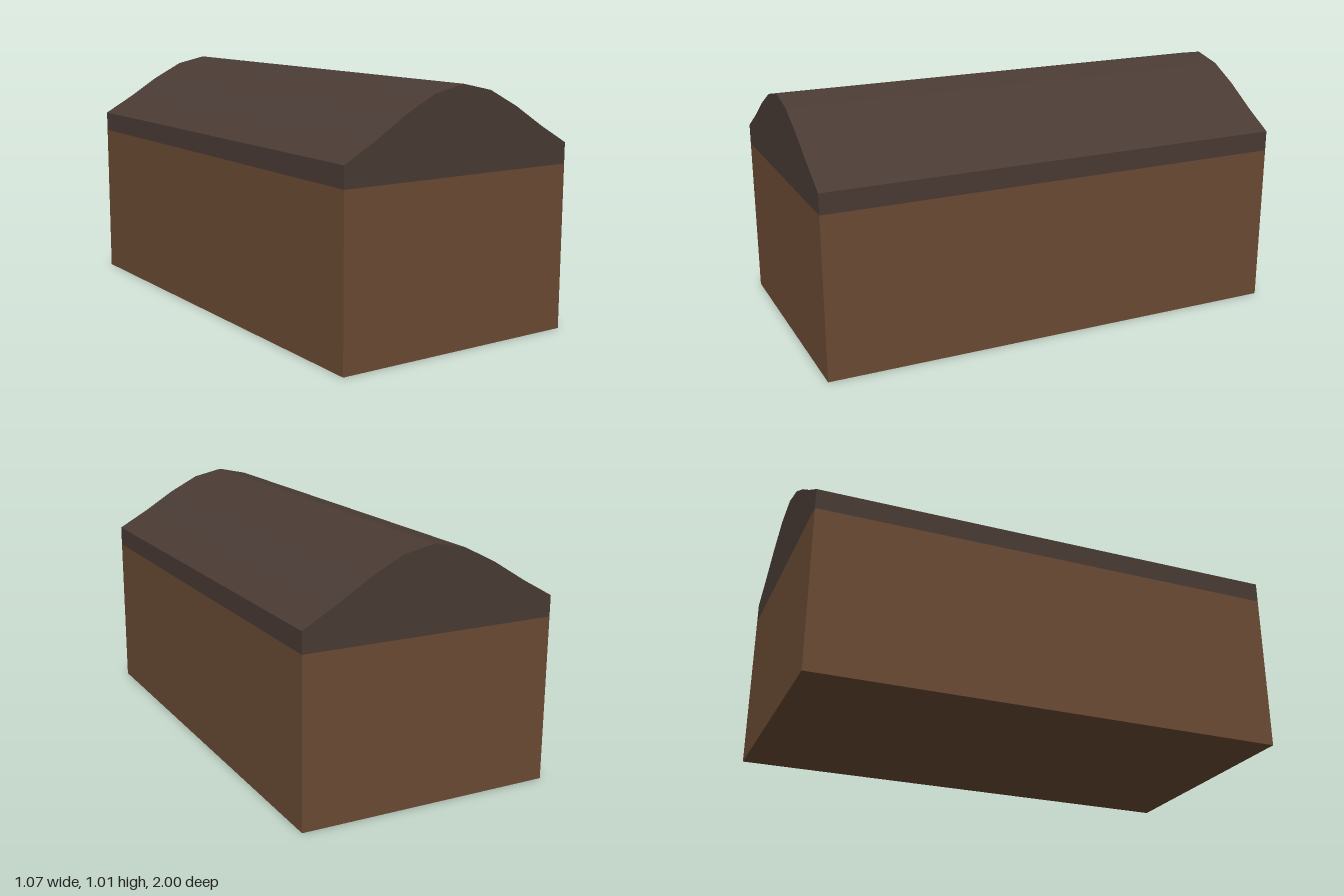
import * as THREE from 'three';

const HALF_WIDTH = 0.533;
const LENGTH = 2;
const WALL_TOP = 0.675;

export function createModel() {
  const model = new THREE.Group();
  model.name = 'barn';

  const wallBrown = new THREE.MeshStandardMaterial({ color: 0x6b4b34 });
  wallBrown.name = 'wallBrown';
  const roofBrown = new THREE.MeshStandardMaterial({ color: 0x4a3b34 });
  roofBrown.name = 'roofBrown';

  // Extrudes an outline along z, centred on the origin
  function addPrism(name, points, material) {
    const geometry = new THREE.ExtrudeGeometry(
      new THREE.Shape(points.map(([x, y]) => new THREE.Vector2(x, y))),
      { depth: LENGTH, bevelEnabled: false }
    );
    geometry.translate(0, 0, -LENGTH / 2);
    const mesh = new THREE.Mesh(geometry, material);
    mesh.name = name;
    model.add(mesh);
  }

  // Plain box walls
  addPrism('walls', [
    [-HALF_WIDTH, 0], [HALF_WIDTH, 0],
    [HALF_WIDTH, WALL_TOP], [-HALF_WIDTH, WALL_TOP],
  ], wallBrown);

  // Faceted bell-shaped roof: heights from the eave to the ridge, mirrored
  const heights = [0.76, 0.835, 0.918, 0.986, 1.015];
  const rightSlope = heights.map((y, i) => [HALF_WIDTH * (1 - i / 4), y]);
  const leftSlope = rightSlope.slice(0, -1).reverse().map(([x, y]) => [-x, y]);
  addPrism('roof', [
    [-HALF_WIDTH, WALL_TOP], [HALF_WIDTH, WALL_TOP],
    ...rightSlope, ...leftSlope,
  ], roofBrown);

  return model;
}
